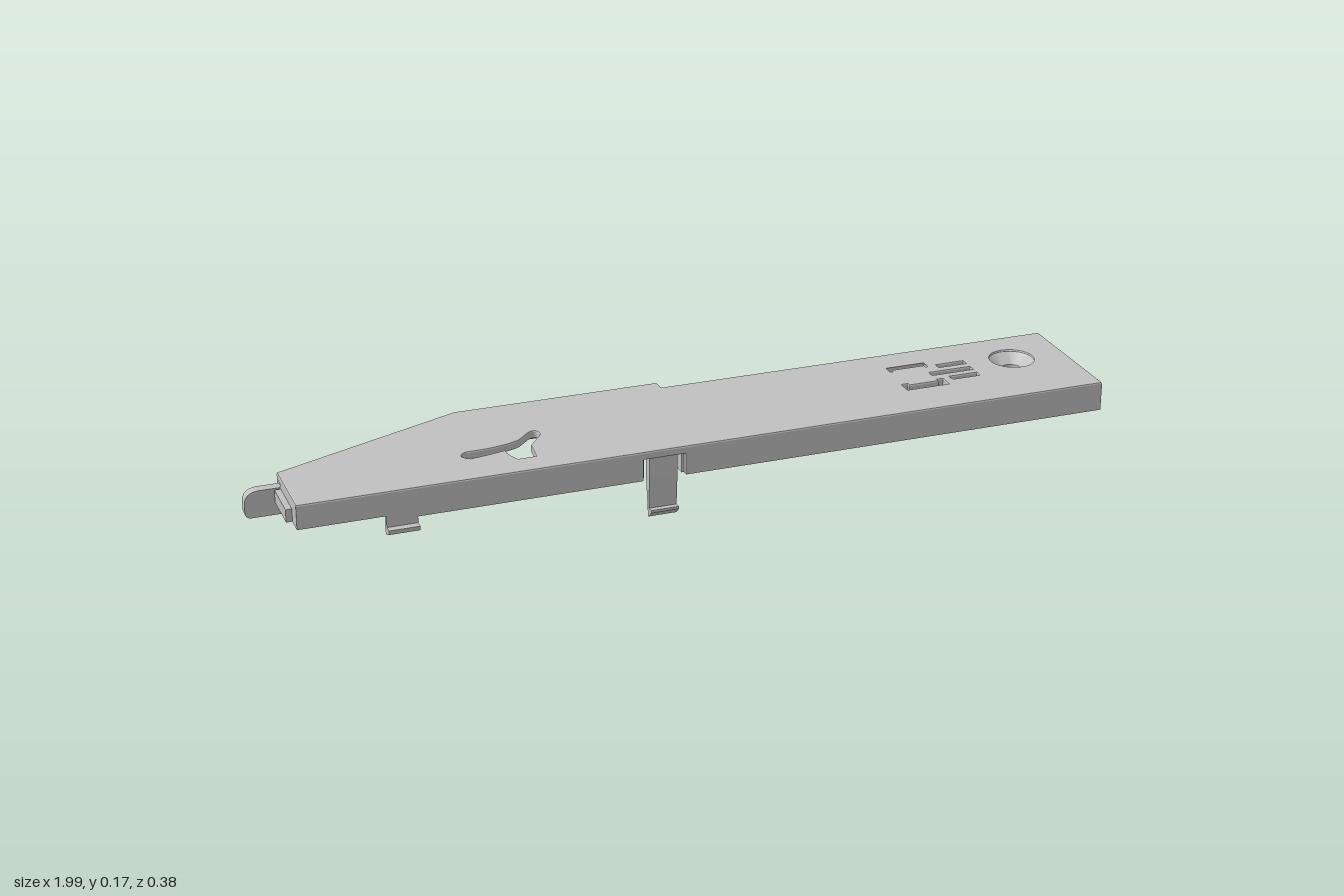
import * as THREE from 'three';
import { toCreasedNormals } from 'three/addons/utils/BufferGeometryUtils.js';

const TOP = 0.168, WALL = 0.018, LIP = 0.098, DEEP = 0.08;

export function createModel() {
  const model = new THREE.Group();
  model.name = 'coverPanel';
  const grey = new THREE.MeshStandardMaterial({ color: 0xc0c0c0, side: THREE.DoubleSide });
  grey.name = 'light grey plastic';

  const add = (name, geo) => {
    const m = new THREE.Mesh(geo, grey);
    m.name = name;
    model.add(m);
    return m;
  };
  const shapeOf = pts => new THREE.Shape(pts.map(p => new THREE.Vector2(...p)));
  const extrude = (pts, depth) => new THREE.ExtrudeGeometry(shapeOf(pts), { depth, bevelEnabled: false });
  // Box from its limits
  const box = (name, x0, x1, y0, y1, z0, z1) =>
    add(name, new THREE.BoxGeometry(x1 - x0, y1 - y0, z1 - z0)
      .translate((x0 + x1) / 2, (y0 + y1) / 2, (z0 + z1) / 2));
  // (z, y) profile drawn out between x0 and x1
  const alongX = (name, pts, x0, x1) =>
    add(name, extrude(pts, x1 - x0).rotateY(-Math.PI / 2).translate(x1, 0, 0));
  // (x, y) profile drawn out between z0 and z1
  const alongZ = (name, pts, z0, z1) => add(name, extrude(pts, z1 - z0).translate(0, 0, z0));

  // Top plate with its cutouts
  const plate = shapeOf([[-0.92, 0.17], [0.992, 0.17], [0.992, -0.157], [0.02, -0.157],
    [0.02, -0.187], [-0.47, -0.187], [-0.92, -0.008]]);
  const rectHole = (x0, x1, z0, z1) =>
    plate.holes.push(shapeOf([[x0, z0], [x1, z0], [x1, z1], [x0, z1]]));
  rectHole(0.675, 0.745, -0.06, -0.044);
  rectHole(0.64, 0.745, -0.023, -0.006);
  rectHole(0.675, 0.745, 0.014, 0.031);
  for (const s of [-1, 1]) {
    const c = -0.015;
    plate.holes.push(shapeOf([[0.55, c + s * 0.035], [0.565, c + s * 0.035], [0.565, c + s * 0.044],
      [0.64, c + s * 0.044], [0.64, c + s * 0.035], [0.655, c + s * 0.035],
      [0.655, c + s * 0.068], [0.55, c + s * 0.068]]));
  }
  const screwHole = new THREE.Path();
  screwHole.absarc(0.86, -0.034, 0.053, 0, Math.PI * 2);
  plate.holes.push(screwHole);
  const branch = new THREE.Path();
  branch.moveTo(-0.505, 0.032);
  branch.quadraticCurveTo(-0.42, 0.035, -0.375, 0.01);
  branch.lineTo(-0.345, -0.02);
  branch.quadraticCurveTo(-0.322, -0.036, -0.322, -0.005);
  branch.lineTo(-0.36, 0.045);
  branch.lineTo(-0.366, 0.105);
  branch.lineTo(-0.408, 0.105);
  branch.quadraticCurveTo(-0.425, 0.07, -0.42, 0.055);
  branch.lineTo(-0.505, 0.068);
  branch.quadraticCurveTo(-0.535, 0.05, -0.505, 0.032);
  plate.holes.push(branch);
  const bevel = 0.004;
  add('topPlate', new THREE.ExtrudeGeometry(plate, {
    depth: 0.02 - 2 * bevel, bevelThickness: bevel, bevelSize: bevel,
    bevelOffset: -bevel, bevelSegments: 2, curveSegments: 16,
  }).rotateX(Math.PI / 2).translate(0, TOP - bevel, 0));

  // Side walls, the front one notched above the long clip
  const wt = TOP - bevel;
  alongZ('frontWall', [[-0.92, 0.11], [-0.72, 0.11], [-0.72, LIP], [-0.14, LIP], [-0.14, 0.152],
    [-0.04, 0.152], [-0.04, LIP], [0.992, LIP], [0.992, wt], [-0.92, wt]], 0.17 - WALL, 0.17);
  box('screwEndWall', 0.992 - WALL, 0.992, LIP, wt, -0.157, 0.17);
  box('backWall', 0.005, 0.992, LIP, wt, -0.157, -0.157 + WALL);
  box('stepWall', 0.02 - WALL, 0.02, DEEP, wt, -0.187, -0.139);
  box('wideBackWall', -0.47, 0.02, DEEP, wt, -0.187, -0.187 + WALL);
  box('narrowEndWall', -0.92, -0.92 + WALL, 0.11, wt, 0.02, 0.17);
  box('endLip', -0.934, -0.92, 0.112, 0.142, 0.025, 0.13);
  add('slantedWall', extrude([[-0.92, -0.008], [-0.47, -0.187], [-0.47, -0.167], [-0.915, 0.011]], wt - DEEP)
    .rotateX(Math.PI / 2).translate(0, wt, 0));

  // Rounded tongue at the narrow end
  const tongue = new THREE.Shape();
  tongue.moveTo(-0.88, DEEP);
  tongue.lineTo(-0.985, DEEP);
  tongue.quadraticCurveTo(-1, DEEP, -1, 0.095);
  tongue.lineTo(-1, 0.115);
  tongue.quadraticCurveTo(-0.998, 0.143, -0.965, 0.143);
  tongue.lineTo(-0.88, 0.143);
  add('tongue', new THREE.ExtrudeGeometry(tongue, { depth: 0.024, bevelEnabled: false }).translate(0, 0, -0.005));

  // Long front clip
  alongX('frontClip', [[0.135, 0.15], [0.158, 0.15], [0.158, 0.098], [0.152, 0.02], [0.169, 0.022],
    [0.169, 0.016], [0.152, 0], [0.147, 0]].concat([[0.135, 0.09]]), -0.122, -0.056);
  for (const x of [-0.14, -0.046]) box('clipCheek', x, x + 0.006, LIP, 0.152, 0.13, 0.156);

  // Short front clip
  alongX('shortFrontClip', [[0.156, 0.15], [0.17, 0.15], [0.17, 0.083], [0.188, 0.083], [0.185, 0.072],
    [0.162, 0.063], [0.158, 0.063]], -0.725, -0.655);

  // Back clip with stiffening ribs
  alongZ('backClip', [[0.062, 0.15], [0.078, 0.15], [0.078, 0.09], [0.072, 0.002], [0.067, 0.002],
    [0.053, 0.022], [0.064, 0.024]], -0.137, -0.086);
  for (const z of [-0.134, -0.12, -0.095])
    alongZ('backClipRib', [[0.075, 0.15], [0.089, 0.15], [0.087, 0.09], [0.073, 0.02]], z, z + 0.005);

  // Facing pair of hooks below the slots
  for (const s of [-1, 1]) {
    const pts = [[0.058, 0.15], [0.07, 0.15], [0.07, 0.066], [0.08, 0.066], [0.079, 0.062],
      [0.05, 0.05], [0.048, 0.05], [0.048, 0.066], [0.058, 0.07]];
    // hook noses point towards each other
    alongX('slotHook', pts.map(([z, y]) => [-0.012 + s * (0.127 - z), y]), 0.568, 0.642);
    box('slotBridge', 0.55, 0.66, 0.13, 0.15, -0.015 + s * 0.085 - 0.008, -0.015 + s * 0.085 + 0.008);
  }

  // Countersunk screw boss and its gussets
  const boss = new THREE.LatheGeometry([[0.057, 0.167], [0.048, 0.158], [0.026, 0.14], [0.026, 0.108],
    [0.042, 0.108], [0.06, 0.15], [0.057, 0.167]].map(p => new THREE.Vector2(...p)), 32);
  add('screwBoss', toCreasedNormals(boss.toNonIndexed(), 0.5)).position.set(0.86, 0, -0.034);
  for (const s of [-1, 1])
    alongX('bossGusset', [[-0.034 + s * 0.04, 0.15], [-0.034 + s * 0.04, 0.11], [-0.034 + s * 0.1, 0.15]], 0.855, 0.865);

  // Inner rails and ribs
  box('frontRail', -0.03, 0.95, 0.112, 0.15, 0.133, 0.14);
  box('backRail', 0.1, 0.95, 0.112, 0.15, -0.127, -0.12);
  box('endRail', 0.95, 0.957, 0.112, 0.15, -0.127, 0.14);
  for (let i = 0; i < 6; i++) {
    const x = 0.16 + i * 0.15;
    box('frontRib', x, x + 0.008, 0.112, 0.15, 0.138, 0.155);
    box('backRib', x, x + 0.008, 0.112, 0.15, -0.142, -0.125);
  }
  box('narrowRib', -0.88, -0.6, 0.112, 0.15, 0.03, 0.038);
  box('smallTab', 0.45, 0.49, 0.087, 0.15, 0.133, 0.14);
  box('thinTab', 0.752, 0.758, 0.087, 0.15, 0.045, 0.055);

  return model;
}
